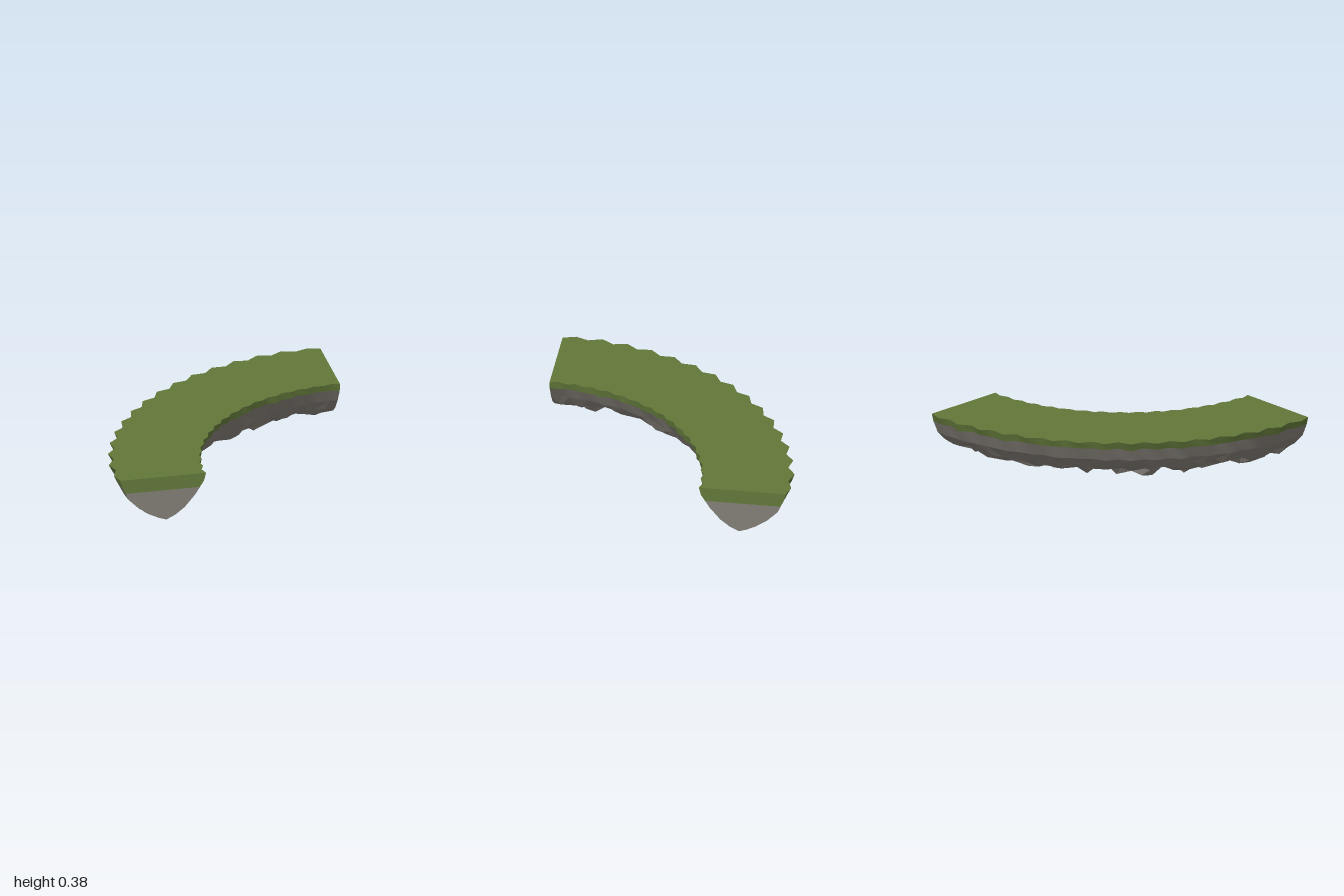
import * as THREE from 'three';

const SEGMENTS = 32;
const TOP = 0.4;

// Cross-section [radius, height, roughness], from the outer rim under the belly to the inner rim
const PROFILE = [
  [1.97, TOP, 0], [1.955, 0.34, 0.008], [1.91, 0.24, 0.01], [1.83, 0.16, 0.022],
  [1.75, 0.105, 0.03], [1.68, 0.07, 0.032], [1.62, 0.05, 0.035], [1.55, 0.085, 0.035],
  [1.48, 0.14, 0.028], [1.40, 0.235, 0.012], [1.335, 0.34, 0.008], [1.32, TOP, 0],
];

// Repeatable value from -1 to 1
function noise(i, j, k) {
  const s = Math.sin(i * 127.1 + j * 311.7 + k * 74.7) * 43758.5453;
  return 2 * (s - Math.floor(s)) - 1;
}

// Point on the curved bank: i runs along the quarter turn, j round the section
function bankPoint(i, j) {
  let [r, y, rough] = PROFILE[j];
  let angle = (i / SEGMENTS) * Math.PI / 2;
  const atEnd = i === 0 || i === SEGMENTS;
  if (!atEnd) {
    // Scalloped rims fade out down the sides
    const nearEnd = i === 1 || i === SEGMENTS - 1;
    if (i % 2) {
      if (j < 3) r += (nearEnd ? 0.03 : 0.044) * (1 - j * 0.3);
      if (j > 8) r += 0.02 * (1 - (11 - j) * 0.3);
    }
    r += noise(i, j, 1) * rough;
    if (j !== 2 && j !== 9) y += noise(i, j, 2) * rough;
    if (j > 2 && j < 9) angle += noise(i, j, 3) * 0.014;
  }
  return [1 - r * Math.cos(angle), Math.max(y, 0.005), 1 - r * Math.sin(angle)];
}

// Skin over a run of profile rows, either smooth or faceted
function skin(name, rows, material, faceted) {
  const positions = [], index = [], n = rows.length;
  for (let i = 0; i <= SEGMENTS; i++) {
    for (const j of rows) positions.push(...bankPoint(i, j));
  }
  for (let i = 0; i < SEGMENTS; i++) {
    for (let k = 0; k < n - 1; k++) {
      const a = i * n + k, b = a + n, c = b + 1, d = a + 1;
      if (faceted && noise(i, k, 4) > 0) index.push(a, b, c, a, c, d);
      else index.push(a, b, d, b, c, d);
    }
  }
  let geometry = new THREE.BufferGeometry();
  geometry.setAttribute('position', new THREE.Float32BufferAttribute(positions, 3));
  geometry.setIndex(index);
  if (faceted) geometry = geometry.toNonIndexed();
  geometry.computeVertexNormals();
  const mesh = new THREE.Mesh(geometry, material);
  mesh.name = name;
  return mesh;
}

// Flat end face, split at the height where the soil cover stops
function endCap(name, side, grass, rock) {
  const group = new THREE.Group();
  group.name = name;
  const split = 0.29;
  const at = (a, b) => a[0] + (b[0] - a[0]) * (split - a[1]) / (b[1] - a[1]);
  const outer = at(PROFILE[1], PROFILE[2]), inner = at(PROFILE[9], PROFILE[10]);
  const upper = [[inner, split], PROFILE[10], PROFILE[11], PROFILE[0], PROFILE[1], [outer, split]];
  const lower = [[outer, split], ...PROFILE.slice(2, 10), [inner, split]];
  for (const [part, outline, material] of [['grassEnd', upper, grass], ['rockEnd', lower, rock]]) {
    const points = outline.map(([r, y]) => new THREE.Vector2(side * (r - 1), y));
    const mesh = new THREE.Mesh(new THREE.ShapeGeometry(new THREE.Shape(points)), material);
    mesh.name = part;
    group.add(mesh);
  }
  return group;
}

export function createModel() {
  const grass = new THREE.MeshStandardMaterial({ color: 0x62783a });
  grass.name = 'grass green';
  const rock = new THREE.MeshStandardMaterial({ color: 0x827d76 });
  rock.name = 'rock grey';

  const model = new THREE.Group();
  model.name = 'curvedCliffPiece';

  // Grass top and its overhanging edges
  model.add(skin('grassTop', [11, 0], grass, false));
  model.add(skin('outerGrassEdge', [0, 1], grass, false));
  model.add(skin('innerGrassEdge', [10, 11], grass, false));

  // Smooth upper rock bands and the jagged underside
  model.add(skin('outerRockBand', [1, 2], rock, false));
  model.add(skin('innerRockBand', [9, 10], rock, false));
  model.add(skin('jaggedUnderside', [2, 3, 4, 5, 6, 7, 8, 9], rock, true));

  // Cut ends
  const frontEnd = endCap('frontEnd', -1, grass, rock);
  frontEnd.position.z = 1;
  const leftEnd = endCap('leftEnd', 1, grass, rock);
  leftEnd.rotation.y = Math.PI / 2;
  leftEnd.position.x = 1;
  model.add(frontEnd, leftEnd);
  return model;
}
